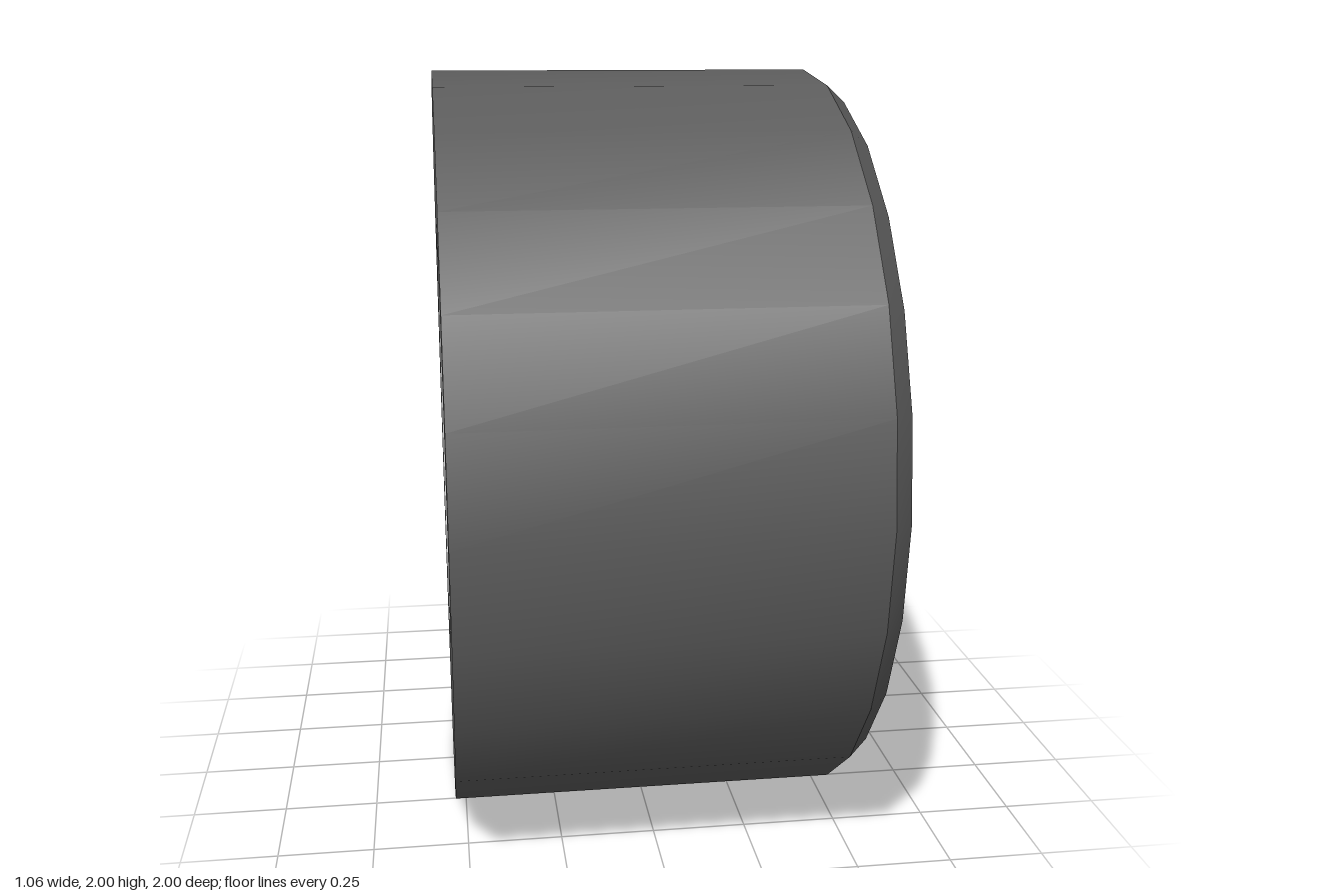
import * as THREE from 'three';
import { toCreasedNormals } from 'three/addons/utils/BufferGeometryUtils.js';

const grey = new THREE.MeshStandardMaterial({ color: 0xcccccc });
const rubber = new THREE.MeshStandardMaterial({ color: 0x5c5c5c });

// Turns a profile of [radius, x] points around the x axis
function turned(name, profile, sides, material, phase = 0) {
  const points = profile.map(([r, x]) => new THREE.Vector2(r, x));
  const lathe = new THREE.LatheGeometry(points, sides, phase);
  lathe.rotateZ(-Math.PI / 2);
  const mesh = new THREE.Mesh(toCreasedNormals(lathe, 0.6), material);
  mesh.name = name;
  return mesh;
}

// Regular polygon as a list of 2D points
function polygon(radius, sides, phase = 0) {
  return Array.from({ length: sides }, (_, i) => {
    const a = phase + (i / sides) * Math.PI * 2;
    return new THREE.Vector2(Math.cos(a) * radius, Math.sin(a) * radius);
  });
}

// Thin blade lofted outwards; each station is [radius, frontX, backX, frontHalfWidth, backHalfWidth]
function spokeGeometry() {
  const stations = [
    [0.26, 0.36, 0.14, 0.012, 0.030],
    [0.33, 0.33, 0.14, 0.010, 0.026],
    [0.41, 0.32, 0.17, 0.009, 0.021],
    [0.58, 0.41, 0.29, 0.007, 0.014],
    [0.75, 0.50, 0.42, 0.005, 0.008],
  ];
  const positions = [];
  const index = [];
  stations.forEach(([r, front, back, wf, wb], s) => {
    positions.push(front, r, wf, front, r, -wf, back, r, -wb, back, r, wb);
    if (s === 0) return;
    for (let i = 0; i < 4; i++) {
      const j = (i + 1) % 4;
      const low = (s - 1) * 4;
      const up = s * 4;
      index.push(low + i, low + j, up + j, low + i, up + j, up + i);
    }
  });
  const last = (stations.length - 1) * 4;
  index.push(last, last + 1, last + 2, last, last + 2, last + 3);
  const geometry = new THREE.BufferGeometry();
  geometry.setAttribute('position', new THREE.Float32BufferAttribute(positions, 3));
  geometry.setIndex(index);
  return toCreasedNormals(geometry, 0.5);
}

export function createModel() {
  const wheel = new THREE.Group();
  wheel.name = 'wheel';
  const step = Math.PI / 12;

  // Tyre tread, shoulder and outer sidewall
  wheel.add(turned('tyre', [[1, -0.53], [1, 0.48], [0.955, 0.53], [0.81, 0.53]], 24, rubber));

  // Flat inner sidewall with the twelve-sided opening
  const wall = new THREE.Shape(polygon(1, 24));
  wall.holes.push(new THREE.Path(polygon(0.6, 12, step)));
  const backWall = new THREE.Mesh(new THREE.ShapeGeometry(wall), rubber);
  backWall.name = 'tyreBackWall';
  backWall.rotation.y = -Math.PI / 2;
  backWall.position.x = -0.53;
  wheel.add(backWall);

  // Rim lip, then the faceted barrel with its flat front ledge
  wheel.add(turned('rimLip', [[0.81, 0.53], [0.785, 0.515], [0.735, 0.43]], 24, grey));
  wheel.add(turned('rimBarrel', [[0.775, 0.43], [0.7, 0.43], [0.6, -0.53]], 12, grey, step));

  // Hollow hub: outer wall and funnel-shaped centre
  wheel.add(turned('hub', [[0.25, -0.03], [0.27, 0.14], [0.29, 0.37], [0.285, 0.39],
    [0.235, 0.34], [0.155, 0.02], [0, 0.02]], 12, grey));

  // Brake disc
  wheel.add(turned('brakeDisc', [[0, -0.08], [0.52, -0.08], [0.52, -0.03], [0, -0.03]], 24, grey));

  // Brake caliper straddling the rear edge of the disc
  const arc = new THREE.Shape();
  arc.absarc(0, 0, 0.62, -0.62, 0.62, false);
  arc.absarc(0, 0, 0.44, 0.62, -0.62, true);
  const caliperGeometry = new THREE.ExtrudeGeometry(arc, { depth: 0.24, bevelEnabled: false, curveSegments: 5 });
  const caliper = new THREE.Mesh(caliperGeometry, grey);
  caliper.name = 'brakeCaliper';
  caliper.rotation.y = Math.PI / 2;
  caliper.position.x = -0.17;
  wheel.add(caliper);

  // Ring of blade spokes
  const spokes = new THREE.Group();
  spokes.name = 'spokes';
  const blade = spokeGeometry();
  const count = 22;
  for (let i = 0; i < count; i++) {
    const spoke = new THREE.Mesh(blade, grey);
    spoke.name = 'spoke';
    spoke.rotation.x = (i / count) * Math.PI * 2;
    spokes.add(spoke);
  }
  wheel.add(spokes);

  wheel.position.y = 1;
  const model = new THREE.Group();
  model.add(wheel);
  return model;
}
